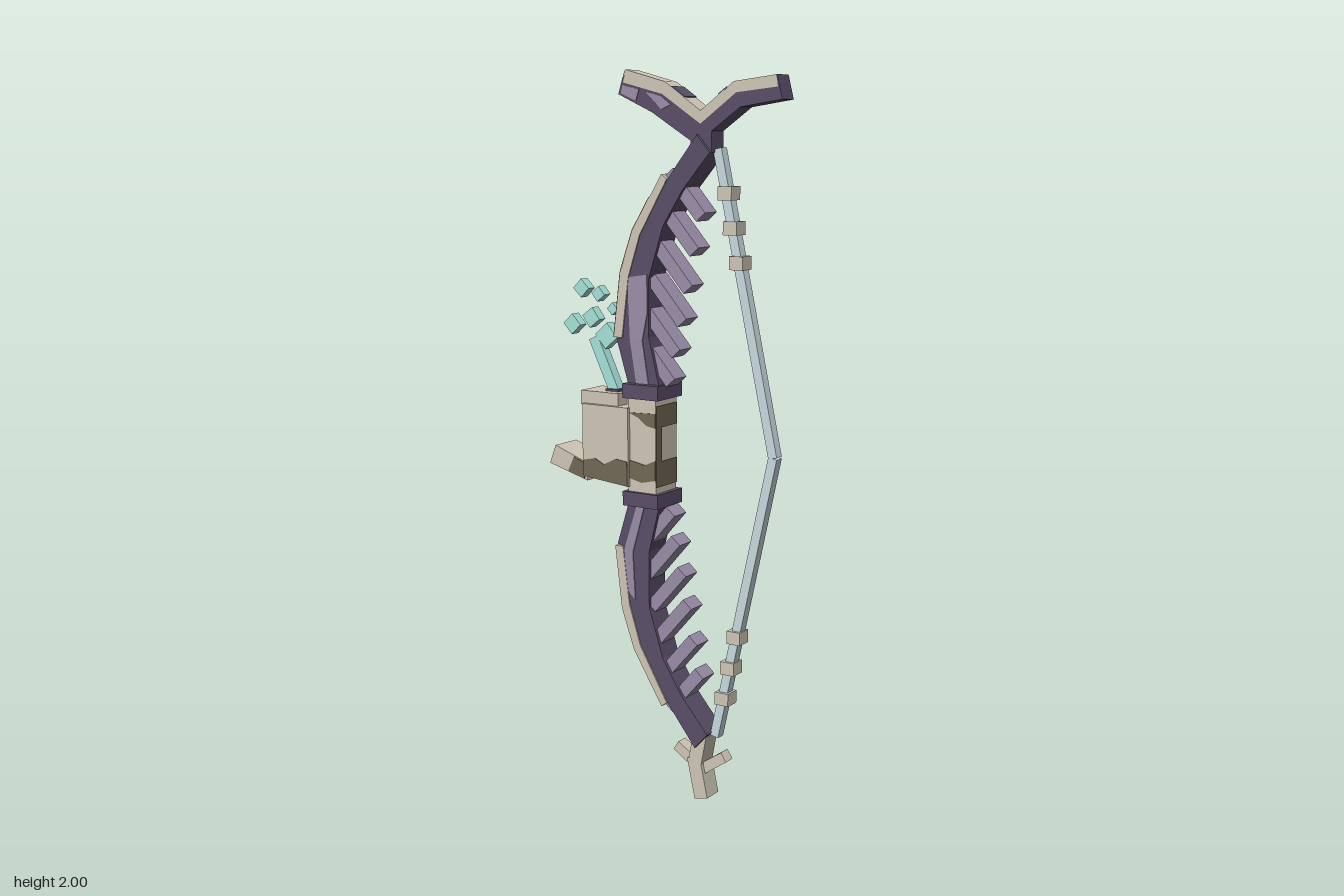
import * as THREE from 'three';

const mat = (name, color) => {
  const m = new THREE.MeshStandardMaterial({ color });
  m.name = name;
  return m;
};

export function createModel() {
  const bow = new THREE.Group();
  bow.name = 'bow';
  const dark = mat('dark purple', 0x594e68);
  const light = mat('light purple', 0x9a8da8);
  const bone = mat('bone', 0xcfc7b6);
  const olive = mat('dark bone', 0x716754);
  const cyan = mat('crystal', 0xa4e2d9);
  const cord = mat('cord', 0xc8dae0);

  const add = (name, geo, material, x = 0, y = 0, z = 0, angle = 0) => {
    const m = new THREE.Mesh(geo, material);
    m.name = name;
    m.position.set(x, y, z);
    m.rotation.z = angle;
    bow.add(m);
    return m;
  };
  const box = (name, material, x, y, w, h, half, angle = 0, z = 0) =>
    add(name, new THREE.BoxGeometry(w, h, half * 2), material, x, y, z, angle);

  // Outline in the xy plane, extruded evenly to both sides of zMid
  const slab = (name, material, pts, half, zMid = 0) => {
    const shape = new THREE.Shape(pts.map(p => new THREE.Vector2(p[0], p[1])));
    const geo = new THREE.ExtrudeGeometry(shape, { depth: half * 2, bevelEnabled: false });
    return add(name, geo, material, 0, 0, zMid - half);
  };
  // Thin coloured plates on the front (1) and back (-1) of a slab
  const patch = (name, material, pts, half, sides = [1, -1]) => {
    for (const s of sides) slab(name, material, pts, 0.0025, s * half);
  };
  // Straight bar between two points
  const bar = (name, material, a, b, width, half) =>
    box(name, material, (a[0] + b[0]) / 2, (a[1] + b[1]) / 2,
      Math.hypot(b[0] - a[0], b[1] - a[1]), width, half,
      Math.atan2(b[1] - a[1], b[0] - a[0]));

  // Limbs: the lower one mirrors the upper one
  const outer = [[-0.146, 1.285], [-0.124, 1.465], [-0.084, 1.578], [0.008, 1.728]];
  const seam = [[-0.12, 1.285], [-0.099, 1.45], [-0.062, 1.565], [0.025, 1.715]];
  const inner = [[0.155, 1.785], [0.07, 1.685], [0.01, 1.59], [-0.035, 1.45], [-0.035, 1.29], [0, 1.15]];
  const ribTips = [[0.122, 1.617], [0.102, 1.525], [0.083, 1.425], [0.065, 1.335], [0.045, 1.25], [0.028, 1.17]];
  for (const upper of [true, false]) {
    const side = upper ? 'upper' : 'lower';
    const f = p => upper ? p : [p[0], 1.984 - p[1]];
    slab(side + 'Limb', dark, [[-0.1, 1.15], [-0.14, 1.28], ...seam, [0.115, 1.83], ...inner].map(f), 0.04);
    slab(side + 'LimbBacking', bone, [...outer, ...[...seam].reverse()].map(f), 0.044);
    // Ribs along the inside of the curve
    for (const [x, y] of ribTips) {
      bar(side + 'Rib', light, f([x - 0.1, y + 0.115]), f([x, y]), 0.036, 0.03);
    }
    const collar = f([-0.05, 1.142]);
    box(side + 'Collar', dark, collar[0], collar[1], 0.115, 0.04, 0.062);
    // Bowstring half and its beads
    bar(side + 'String', cord, f([0.162, 1.795]), f([0.337, 0.992]), 0.026, 0.014);
    for (const [x, y] of [[0.19, 1.68], [0.207, 1.59], [0.226, 1.5]]) {
      const b = f([x, y]);
      box(side + 'StringBead', bone, b[0], b[1], 0.042, 0.036, 0.023);
    }
  }
  // Dark stretch along the outside of the upper backing
  for (const [a, b] of [[outer[0], outer[1]], [outer[1], outer[2]], [outer[2], [-0.03, 1.666]]]) {
    bar('backingBand', olive, a, b, 0.005, 0.044);
  }
  patch('upperLimbPatch', light, [[-0.103, 1.45], [-0.04, 1.46], [-0.038, 1.36],
    [-0.055, 1.28], [-0.035, 1.162], [-0.075, 1.162], [-0.095, 1.28]], 0.04);
  patch('lowerLimbPatch', light, [[-0.075, 0.82], [-0.05, 0.82], [-0.088, 0.685],
    [-0.08, 0.55], [-0.112, 0.58], [-0.117, 0.69]], 0.04);

  // Forked horn at the top
  const hornSeam = [[-0.125, 1.967], [0.002, 1.935], [0.12, 1.858], [0.228, 1.937], [0.35, 1.95]];
  slab('hornFork', dark, [...hornSeam, [0.36, 1.918], [0.24, 1.9], [0.155, 1.84],
    [0.155, 1.785], [0.09, 1.79], [0.09, 1.815], [-0.03, 1.888], [-0.135, 1.935]], 0.03);
  slab('hornRidge', bone, [[-0.115, 2], [0.01, 1.967], [0.12, 1.892], [0.22, 1.965],
    [0.344, 1.98], ...[...hornSeam].reverse()], 0.03);
  bar('hornTipEnd', dark, [-0.115, 1.997], [-0.135, 1.935], 0.005, 0.03);
  bar('hornTipEnd', dark, [0.344, 1.98], [0.36, 1.918], 0.005, 0.03);
  bar('hornRidgeBand', dark, [0.03, 1.953], [0.07, 1.926], 0.005, 0.03);
  bar('hornRidgeBand', dark, [0.175, 1.932], [0.2, 1.95], 0.005, 0.03);
  patch('hornPatch', light, [[-0.05, 1.942], [0, 1.93], [0.03, 1.908], [0, 1.895], [-0.02, 1.915]], 0.03);
  patch('hornPatch', light, [[-0.122, 1.96], [-0.07, 1.948], [-0.08, 1.918], [-0.128, 1.938]], 0.03);

  // Twig at the bottom
  bar('twigStem', bone, [0.125, 0.19], [0.108, 0.1], 0.042, 0.03);
  bar('twigStem', bone, [0.105, 0.12], [0.13, 0.005], 0.042, 0.03);
  bar('twigBranch', bone, [0.04, 0.14], [0.11, 0.095], 0.03, 0.018);
  bar('twigBranch', bone, [0.195, 0.135], [0.115, 0.08], 0.03, 0.018);

  // Grip with mottled bands
  box('grip', bone, -0.05, 0.992, 0.09, 0.27, 0.052);
  patch('gripBand', olive, [[-0.094, 1.082], [-0.006, 1.085], [-0.006, 1.045], [-0.035, 1.05], [-0.06, 1.07]], 0.052, [1]);
  patch('gripBand', olive, [[-0.094, 0.95], [-0.04, 0.94], [-0.006, 0.955], [-0.006, 0.9], [-0.05, 0.89], [-0.094, 0.9]], 0.052, [1]);
  // Dark edges on the string side, leaving a pale spot between them
  box('gripSideBand', olive, -0.005, 1.075, 0.005, 0.06, 0.052);
  box('gripSideBand', olive, -0.005, 0.915, 0.005, 0.07, 0.052);
  box('gripSideBand', olive, -0.005, 0.995, 0.005, 0.1, 0.014, 0, 0.038);

  // Block in front of the grip, with a cap and a spur
  slab('block', bone, [[-0.242, 1.095], [-0.09, 1.095], [-0.09, 0.875], [-0.242, 0.89]], 0.062);
  patch('blockBand', olive, [[-0.24, 0.935], [-0.2, 0.945], [-0.17, 0.93], [-0.13, 0.95],
    [-0.092, 0.945], [-0.092, 0.877], [-0.24, 0.892]], 0.062, [1]);
  box('blockCap', bone, -0.192, 1.11, 0.125, 0.04, 0.05);
  slab('spur', bone, [[-0.345, 0.965], [-0.235, 0.925], [-0.235, 0.875], [-0.365, 0.912]], 0.05);
  patch('spurBand', olive, [[-0.28, 0.938], [-0.243, 0.925], [-0.243, 0.88], [-0.3, 0.896]], 0.05, [1]);

  // Crystal flame and floating chips
  box('crystalSocket', dark, -0.168, 1.132, 0.045, 0.008, 0.024);
  bar('crystalRod', cyan, [-0.236, 1.275], [-0.168, 1.13], 0.032, 0.015);
  for (const [x, y, s, a] of [[-0.277, 1.41, 0.037, 0.8], [-0.22, 1.397, 0.031, 0.7],
    [-0.172, 1.358, 0.025, 0.75], [-0.244, 1.33, 0.041, 0.65], [-0.309, 1.308, 0.041, 0.75],
    [-0.193, 1.282, 0.052, 0.72]]) {
    box('crystalChip', cyan, x, y, s, s, 0.015, a);
  }
  return bow;
}
